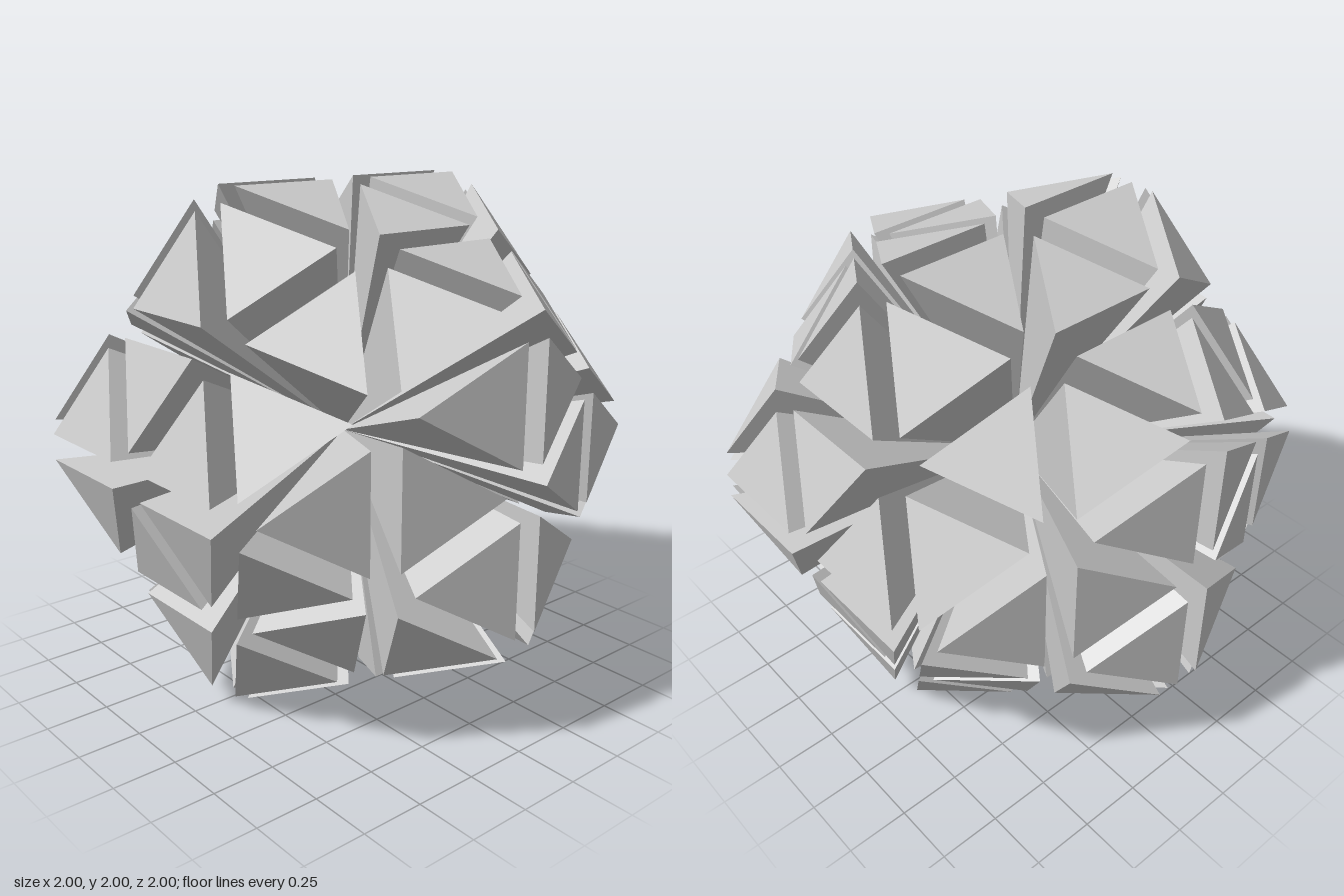
import * as THREE from 'three';

const RADIUS = 1.198; // circumradius of the guiding icosahedron
const SHRINK = 0.7;   // size of each tile relative to its quarter of a face

// Three-sided spike: its outer tile is abc shrunk about the centroid, its tip is at the centre
function spikeGeometry(a, b, c) {
  const mid = new THREE.Vector3().add(a).add(b).add(c).divideScalar(3);
  const [p, q, r] = [a, b, c].map((v) => mid.clone().lerp(v, SHRINK));
  const o = new THREE.Vector3();
  const geometry = new THREE.BufferGeometry().setFromPoints([
    p, q, r,
    o, q, p,
    o, r, q,
    o, p, r,
  ]);
  geometry.computeVertexNormals();
  return geometry;
}

export function createModel() {
  const model = new THREE.Group();
  model.name = 'explodedIcosahedron';
  const material = new THREE.MeshStandardMaterial({ color: 0xcccccc, flatShading: true });

  const addSpike = (parent, name, a, b, c) => {
    const mesh = new THREE.Mesh(spikeGeometry(a, b, c), material);
    mesh.name = name;
    parent.add(mesh);
  };

  const position = new THREE.IcosahedronGeometry(RADIUS, 0).rotateY(Math.PI / 2).getAttribute('position');
  const half = (u, v) => u.clone().lerp(v, 0.5);

  // Each face splits into one middle spike and three corner spikes
  for (let i = 0; i < position.count; i += 3) {
    const [a, b, c] = [0, 1, 2].map((k) => new THREE.Vector3().fromBufferAttribute(position, i + k));
    const ab = half(a, b), bc = half(b, c), ca = half(c, a);
    const face = new THREE.Group();
    face.name = 'faceCluster';
    addSpike(face, 'middleSpike', ab, bc, ca);
    addSpike(face, 'cornerSpike', a, ab, ca);
    addSpike(face, 'cornerSpike', b, bc, ab);
    addSpike(face, 'cornerSpike', c, ca, bc);
    model.add(face);
  }

  model.position.y = 1;
  const root = new THREE.Group();
  root.name = 'model';
  root.add(model);
  return root;
}
